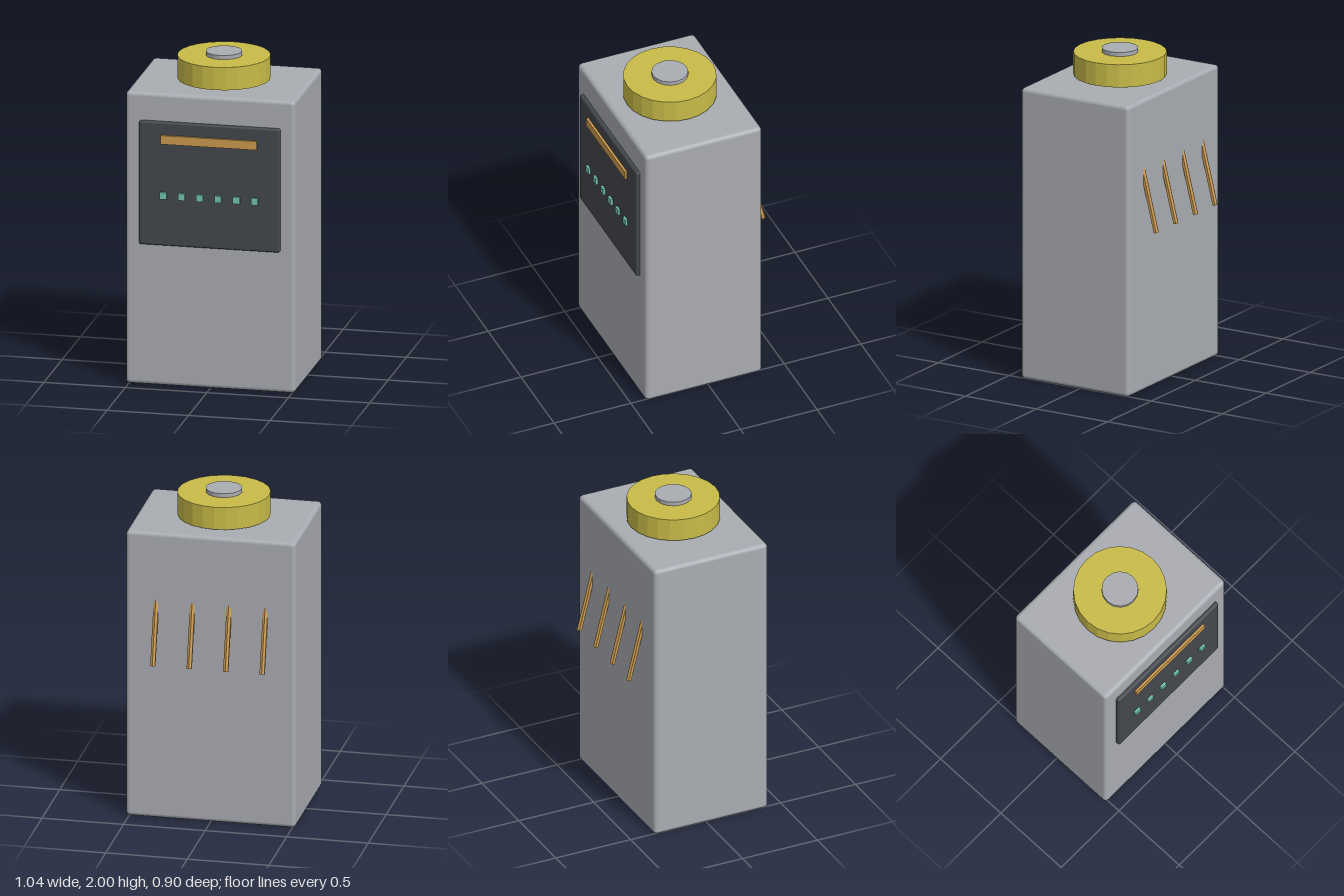
import * as THREE from 'three';
import { RoundedBoxGeometry } from 'three/addons/geometries/RoundedBoxGeometry.js';

const CZ = 0.03; // depth centre of the casing

function material(name, color) {
  const m = new THREE.MeshStandardMaterial({ color });
  m.name = name;
  return m;
}

export function createModel() {
  const model = new THREE.Group();
  const grey = material('casing grey', 0xa9acb2);
  const dark = material('panel charcoal', 0x43474c);
  const yellow = material('dial yellow', 0xc8bb48);
  const orange = material('amber', 0xcb9a4e);
  const teal = material('indicator teal', 0x74c4b0);

  const add = (name, geometry, mat, x, y, z) => {
    const mesh = new THREE.Mesh(geometry, mat);
    mesh.name = name;
    mesh.position.set(x, y, z);
    model.add(mesh);
    return mesh;
  };
  // low-poly round parts keep their facets
  const faceted = (r, h, sides) => new THREE.CylinderGeometry(r, r, h, sides).toNonIndexed();
  const addFaceted = (name, r, h, sides, mat, x, y, z) => {
    const g = faceted(r, h, sides);
    g.computeVertexNormals();
    return add(name, g, mat, x, y, z);
  };

  // casing and front panel
  add('casing', new RoundedBoxGeometry(1.04, 1.82, 0.76, 2, 0.025), grey, 0, 0.91, CZ);
  add('frontPanel', new RoundedBoxGeometry(0.864, 0.77, 0.04, 2, 0.012), dark, 0, 1.264, 0.415);

  // display bar and row of indicators
  add('displayBar', new THREE.BoxGeometry(0.59, 0.054, 0.03), orange, 0, 1.543, 0.435);
  for (let i = 0; i < 6; i++) {
    add('indicator', new THREE.BoxGeometry(0.042, 0.042, 0.03), teal, (i - 2.5) * 0.112, 1.193, 0.435);
  }

  // dial on top with its hub
  addFaceted('dial', 0.28, 0.142, 24, yellow, 0, 1.904, CZ);
  addFaceted('hub', 0.11, 0.18, 16, grey, 0, 1.91, CZ);

  // slanted rods on the back
  const tilt = Math.atan(0.25), length = 0.44;
  for (const x of [-0.335, -0.112, 0.112, 0.335]) {
    const rod = addFaceted('backRod', 0.017, length, 6, orange, x,
      1.0 + Math.cos(tilt) * length / 2, -0.432 + Math.sin(tilt) * length / 2);
    rod.rotation.x = tilt;
  }
  return model;
}
